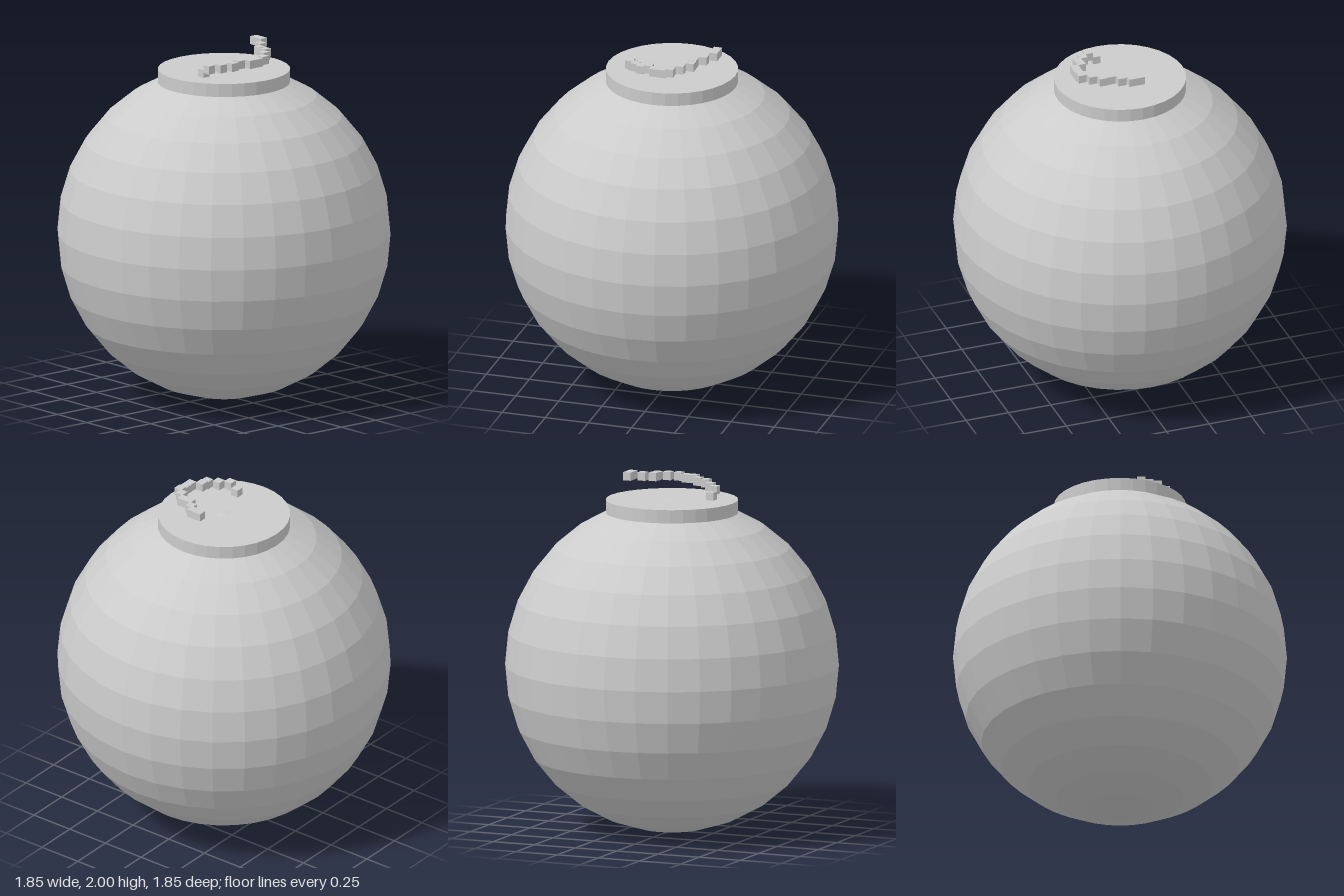
import * as THREE from 'three';

const material = new THREE.MeshStandardMaterial({ color: 0xcccccc, flatShading: true });

function addPart(parent, name, geometry, x, y, z) {
  const mesh = new THREE.Mesh(geometry, material);
  mesh.name = name;
  mesh.position.set(x, y, z);
  parent.add(mesh);
  return mesh;
}

export function createModel() {
  const model = new THREE.Group();
  model.name = 'bomb';

  // Faceted round body, a hair taller than wide
  const body = addPart(model, 'body', new THREE.SphereGeometry(0.925, 32, 16), 0, 0.932, 0);
  body.scale.y = 0.932 / 0.925;

  // Flat collar on top
  addPart(model, 'cap', new THREE.CylinderGeometry(0.367, 0.367, 0.08, 32), 0, 1.82, 0);

  // Fuse: a curved chain of small blocks climbing from the cap
  const fuse = new THREE.Group();
  fuse.name = 'fuse';
  model.add(fuse);
  const s = 0.046;
  // x, y, z of the centre, then length in x and z counted in blocks
  const blocks = [
    [0.07, 1.881, 0.207, 1, 1],
    [0.116, 1.91, 0.207, 1, 1],
    [0.162, 1.917, 0.161, 1, 1],
    [0.208, 1.927, 0.115, 1, 1],
    [0.208, 1.934, 0.069, 1, 1],
    [0.254, 1.938, 0, 1, 2],
    [0.254, 1.946, -0.069, 1, 1],
    [0.208, 1.953, -0.115, 1, 1],
    [0.162, 1.957, -0.161, 1, 1],
    [0.116, 1.959, -0.161, 1, 1],
    [0.07, 1.965, -0.207, 1, 1],
    [0, 1.977, -0.253, 2, 1],
  ];
  for (const [x, y, z, nx, nz] of blocks) {
    addPart(fuse, 'fuseBlock', new THREE.BoxGeometry(s * nx, s, s * nz), x, y, z);
  }

  return model;
}
